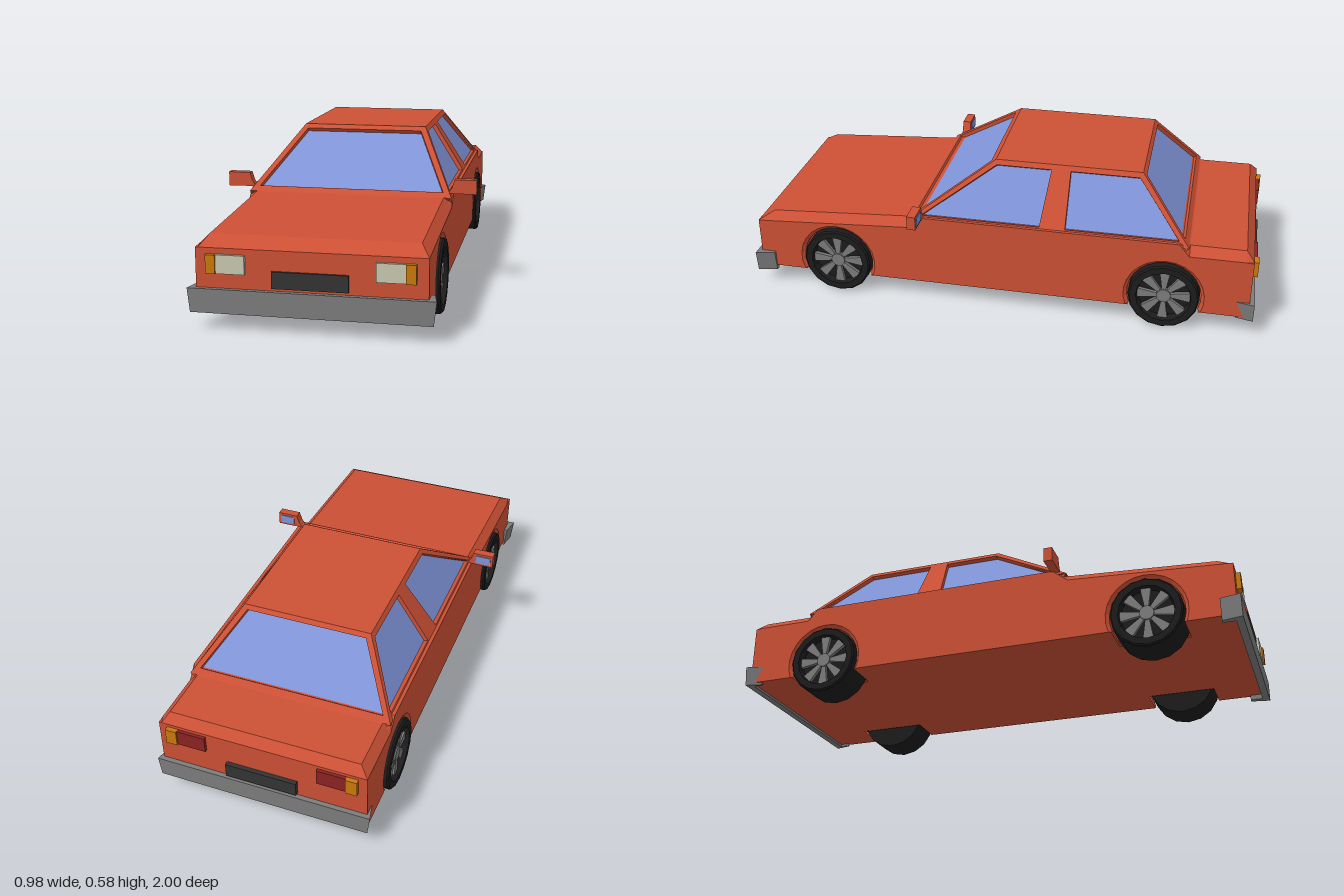
import * as THREE from 'three';

const mat = (color) => new THREE.MeshStandardMaterial({ color, flatShading: true, side: THREE.DoubleSide });
const V = (x, y, z) => new THREE.Vector3(x, y, z);
const shapeOf = (pts) => new THREE.Shape(pts.map(([x, y]) => new THREE.Vector2(x, y)));

export function createModel() {
  const car = new THREE.Group();
  car.name = 'car';
  const paint = mat(0xcc5035), glass = mat(0x8094d8), rubber = mat(0x1c1c1c), metal = mat(0x7c7c7c);
  const dark = mat(0x333333), amber = mat(0xc8780c), lamp = mat(0xc8c8b0), red = mat(0x8c2222);

  const add = (name, geo, material, parent = car) => {
    const m = new THREE.Mesh(geo, material);
    m.name = name;
    parent.add(m);
    return m;
  };
  // box given by its extents
  const box = (name, x0, x1, y0, y1, z0, z1, material, parent) =>
    add(name, new THREE.BoxGeometry(x1 - x0, y1 - y0, z1 - z0)
      .translate((x0 + x1) / 2, (y0 + y1) / 2, (z0 + z1) / 2), material, parent);

  // Parts that repeat on both sides are built for +x and mirrored
  const sides = [1, -1].map((s) => {
    const g = new THREE.Group();
    g.name = s > 0 ? 'leftSide' : 'rightSide';
    g.scale.x = s;
    car.add(g);
    return g;
  });

  // Upper body: cross-sections [z, shoulder x, shoulder y, top x, top y]
  const W = 0.4, FLOOR = 0.08, AXLE = 0.655, HUB = 0.137, ARCH = 0.155;
  const sections = [
    [0.98, W, 0.285, 0.39, 0.285], [0.92, W, 0.288, 0.367, 0.32], [0.36, W, 0.322, 0.367, 0.355],
    [0.30, W, 0.37, 0.385, 0.37], [-0.70, W, 0.37, 0.385, 0.37], [-0.74, W, 0.322, 0.367, 0.355],
    [-0.95, W, 0.322, 0.367, 0.355], [-0.98, W, 0.32, 0.39, 0.32],
  ];
  const pos = [];
  const quad = (a, b, c, d) => pos.push(...a, ...b, ...c, ...a, ...c, ...d);
  const ring = ([z, sx, sy, tx, ty]) => [[sx, sy, z], [tx, ty, z], [-tx, ty, z], [-sx, sy, z]];
  for (let i = 0; i < sections.length - 1; i++) {
    const a = ring(sections[i]), b = ring(sections[i + 1]);
    for (let k = 0; k < 3; k++) quad(a[k], b[k], b[k + 1], a[k + 1]);
  }
  quad([-W, FLOOR, 0.98], [W, FLOOR, 0.98], [W, 0.285, 0.98], [-W, 0.285, 0.98]);
  quad([W, FLOOR, -0.98], [-W, FLOOR, -0.98], [-W, 0.32, -0.98], [W, 0.32, -0.98]);
  const upper = new THREE.BufferGeometry();
  upper.setAttribute('position', new THREE.Float32BufferAttribute(pos, 3));
  upper.computeVertexNormals();
  add('bodyShell', upper, paint);

  // Side panels with wheel arches, drawn in (z, y)
  const dip = Math.asin((HUB - FLOOR) / ARCH);
  const outline = [[-0.98, FLOOR]];
  for (const z of [-AXLE, AXLE])
    for (let i = 0; i <= 16; i++) {
      const a = Math.PI + dip - (i / 16) * (Math.PI + 2 * dip);
      outline.push([z + ARCH * Math.cos(a), HUB + ARCH * Math.sin(a)]);
    }
  outline.push([0.98, FLOOR], ...sections.map((s) => [s[0], s[2]]));
  const sideGeo = new THREE.ShapeGeometry(shapeOf(outline)).rotateY(-Math.PI / 2).translate(W, 0, 0);

  // Floor with notches for the wheels, drawn in (x, z)
  const edge = [[W, 0.98]];
  for (const z of [AXLE, -AXLE])
    edge.push([W, z + 0.135], [0.262, z + 0.135], [0.262, z - 0.135], [W, z - 0.135]);
  edge.push([W, -0.98]);
  const floorPts = [...edge, ...edge.map(([x, z]) => [-x, z]).reverse()];
  add('floor', new THREE.ShapeGeometry(shapeOf(floorPts)).rotateX(Math.PI / 2).translate(0, FLOOR, 0), paint);

  // Lathe around the x axis, profile as [radius, x]
  const lathe = (profile, n, start, length) => new THREE.LatheGeometry(
    profile.map(([r, x]) => new THREE.Vector2(r, x)), n, start, length).rotateZ(-Math.PI / 2);
  const wellGeo = lathe([[ARCH, W], [0.142, 0.388], [0.142, 0.262], [0, 0.262]], 16, Math.PI - dip, Math.PI + 2 * dip);
  const tyreGeo = lathe([[0, 0.27], [0.137, 0.27], [0.137, 0.404], [0.131, 0.411], [0.106, 0.411], [0.1, 0.38], [0, 0.38]], 16);
  const spokeGeo = new THREE.ExtrudeGeometry(
    shapeOf([[-0.007, 0.02], [0.007, 0.02], [0.02, 0.101], [-0.02, 0.101]]),
    { depth: 0.014, bevelEnabled: false }).rotateY(Math.PI / 2).translate(0.382, 0, 0);
  const hubGeo = new THREE.CylinderGeometry(0.028, 0.028, 0.02, 12).rotateZ(Math.PI / 2).translate(0.391, 0, 0);

  // Door mirror outline, drawn in (x, y)
  const mirrorGeo = new THREE.ExtrudeGeometry(
    shapeOf([[0.38, 0.368], [0.49, 0.367], [0.49, 0.422], [0.405, 0.422], [0.395, 0.39]]),
    { depth: 0.034, bevelEnabled: false }).translate(0, 0, 0.294);

  for (const side of sides) {
    add('sidePanel', sideGeo, paint, side);
    for (const z of [AXLE, -AXLE]) {
      const wheel = new THREE.Group();
      wheel.name = z > 0 ? 'frontWheel' : 'rearWheel';
      wheel.position.set(0, HUB, z);
      side.add(wheel);
      add('wheelArch', wellGeo, paint, wheel);
      add('tyre', tyreGeo, rubber, wheel);
      add('hub', hubGeo, metal, wheel);
      for (let i = 0; i < 8; i++) add('spoke', spokeGeo, metal, wheel).rotation.x = (i * Math.PI) / 4;
    }
    add('doorMirror', mirrorGeo, paint, side);
    box('mirrorGlass', 0.418, 0.48, 0.377, 0.412, 0.291, 0.295, glass, side);
    box('headlight', 0.225, 0.326, 0.198, 0.264, 0.97, 0.992, lamp, side);
    box('frontIndicator', 0.326, 0.36, 0.198, 0.264, 0.97, 0.998, amber, side);
    box('tailLight', 0.215, 0.325, 0.245, 0.308, -0.992, -0.97, red, side);
    box('rearIndicator', 0.325, 0.368, 0.245, 0.308, -0.998, -0.97, amber, side);
  }

  // Flat panel with window openings and recessed panes; corners are 3D points on one plane
  const panel = (name, corners, windows, parent) => {
    const u = corners[1].clone().sub(corners[0]).normalize();
    const n = u.clone().cross(corners[3].clone().sub(corners[0])).normalize();
    const v = n.clone().cross(u);
    const frame = new THREE.Matrix4().makeBasis(u, v, n).setPosition(corners[0]);
    const flat = (pts) => pts.map((p) => {
      const d = p.clone().sub(corners[0]);
      return [d.dot(u), d.dot(v)];
    });
    const shape = shapeOf(flat(corners));
    for (const w of windows) {
      const pane = shapeOf(flat(w));
      shape.holes.push(pane);
      add(name + 'Glass', new THREE.ShapeGeometry(pane).translate(0, 0, -0.016).applyMatrix4(frame), glass, parent);
    }
    add(name + 'Frame', new THREE.ExtrudeGeometry(shape, { depth: 0.02, bevelEnabled: false })
      .translate(0, 0, -0.02).applyMatrix4(frame), paint, parent);
  };

  // Cabin
  const BASE = 0.355, ROOF = 0.58, BX = 0.397, RX = 0.25;
  const zFront = (y) => 0.355 + (0.03 - 0.355) * (y - BASE) / (ROOF - BASE);
  const zRear = (y) => -0.737 + (-0.54 + 0.737) * (y - BASE) / (ROOF - BASE);
  const xSide = (y) => BX + (RX - BX) * (y - BASE) / (ROOF - BASE);
  const end = (s, zOf, y0, y1, x0, x1) => [V(-s * x0, y0, zOf(y0)), V(s * x0, y0, zOf(y0)), V(s * x1, y1, zOf(y1)), V(-s * x1, y1, zOf(y1))];
  panel('windscreen', end(1, zFront, BASE, ROOF, BX, RX), [end(1, zFront, 0.372, 0.565, 0.362, 0.235)], car);
  panel('rearWindow', end(-1, zRear, BASE, ROOF, BX, RX), [end(-1, zRear, 0.375, 0.565, 0.362, 0.235)], car);
  const onSide = ([z, y]) => V(xSide(y), y, z);
  for (const side of sides)
    panel('sideWindow', [[0.355, BASE], [-0.737, BASE], [-0.54, ROOF], [0.03, ROOF]].map(onSide), [
      [[0.302, 0.375], [-0.165, 0.375], [-0.19, 0.562], [0.025, 0.562]].map(onSide),
      [[-0.265, 0.375], [-0.698, 0.375], [-0.53, 0.562], [-0.265, 0.562]].map(onSide),
    ], side);
  box('roof', -RX, RX, ROOF - 0.015, ROOF, -0.54, 0.03, paint);

  // Wrap-around bumpers: U-shaped plan in (x, z), narrowing slightly to the bottom
  const bumper = (name, dir, x, y0, y1, z0) => {
    const half = [[0.385, 0.97], [0.385, z0], [x - 0.015, z0], [x, 0.998]];
    const pts = [...half, ...half.map(([a, b]) => [-a, b]).reverse()];
    const geo = new THREE.ExtrudeGeometry(shapeOf(pts), { depth: y1 - y0, bevelEnabled: false })
      .rotateX(Math.PI / 2).translate(0, y1, 0);
    const p = geo.attributes.position;
    for (let i = 0; i < p.count; i++)
      if (p.getY(i) < (y0 + y1) / 2 && Math.abs(p.getX(i)) > 0.39) p.setX(i, p.getX(i) * 0.978);
    add(name, geo, metal).rotation.y = dir > 0 ? 0 : Math.PI;
  };
  bumper('frontBumper', 1, 0.428, 0.06, 0.145, 0.922);
  bumper('rearBumper', -1, 0.416, 0.07, 0.146, 0.932);

  // Blank number plates
  box('frontPlate', -0.132, 0.132, 0.155, 0.214, 0.97, 0.99, dark);
  box('rearPlate', -0.137, 0.137, 0.158, 0.214, -0.997, -0.97, dark);
  return car;
}
